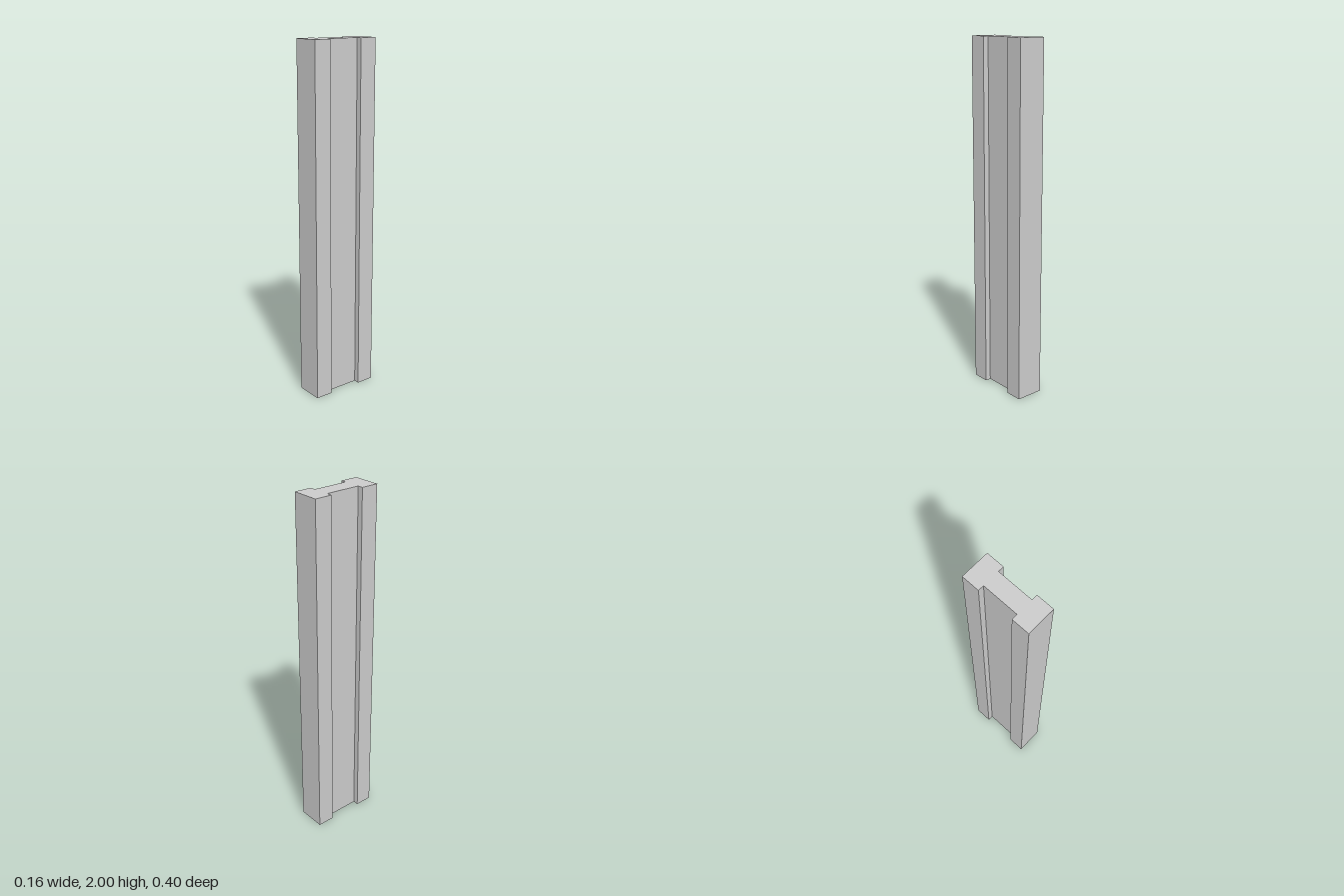
import * as THREE from 'three';

const HEIGHT = 2;
const FLANGE_X = 0.08; // half width of the flanges
const WEB_X = 0.048; // half thickness of the web
const OUTER_Z = 0.2; // outer face of each flange
const INNER_Z = 0.1; // inner face of each flange

export function createModel() {
  const group = new THREE.Group();
  group.name = 'beam';

  // Half of the I-shaped section, then the same points turned by 180 degrees
  const half = [
    [FLANGE_X, -OUTER_Z], [FLANGE_X, -INNER_Z], [WEB_X, -INNER_Z],
    [WEB_X, INNER_Z], [FLANGE_X, INNER_Z], [FLANGE_X, OUTER_Z],
  ];
  const outline = [...half, ...half.map(([x, z]) => [-x, -z])];
  const section = new THREE.Shape(outline.map(([x, z]) => new THREE.Vector2(x, z)));

  // Section extruded upwards
  const geometry = new THREE.ExtrudeGeometry(section, { depth: HEIGHT, bevelEnabled: false });
  geometry.rotateX(-Math.PI / 2);

  const material = new THREE.MeshStandardMaterial({ color: 0xcccccc, flatShading: true });
  const column = new THREE.Mesh(geometry, material);
  column.name = 'flangedColumn';
  group.add(column);
  return group;
}
